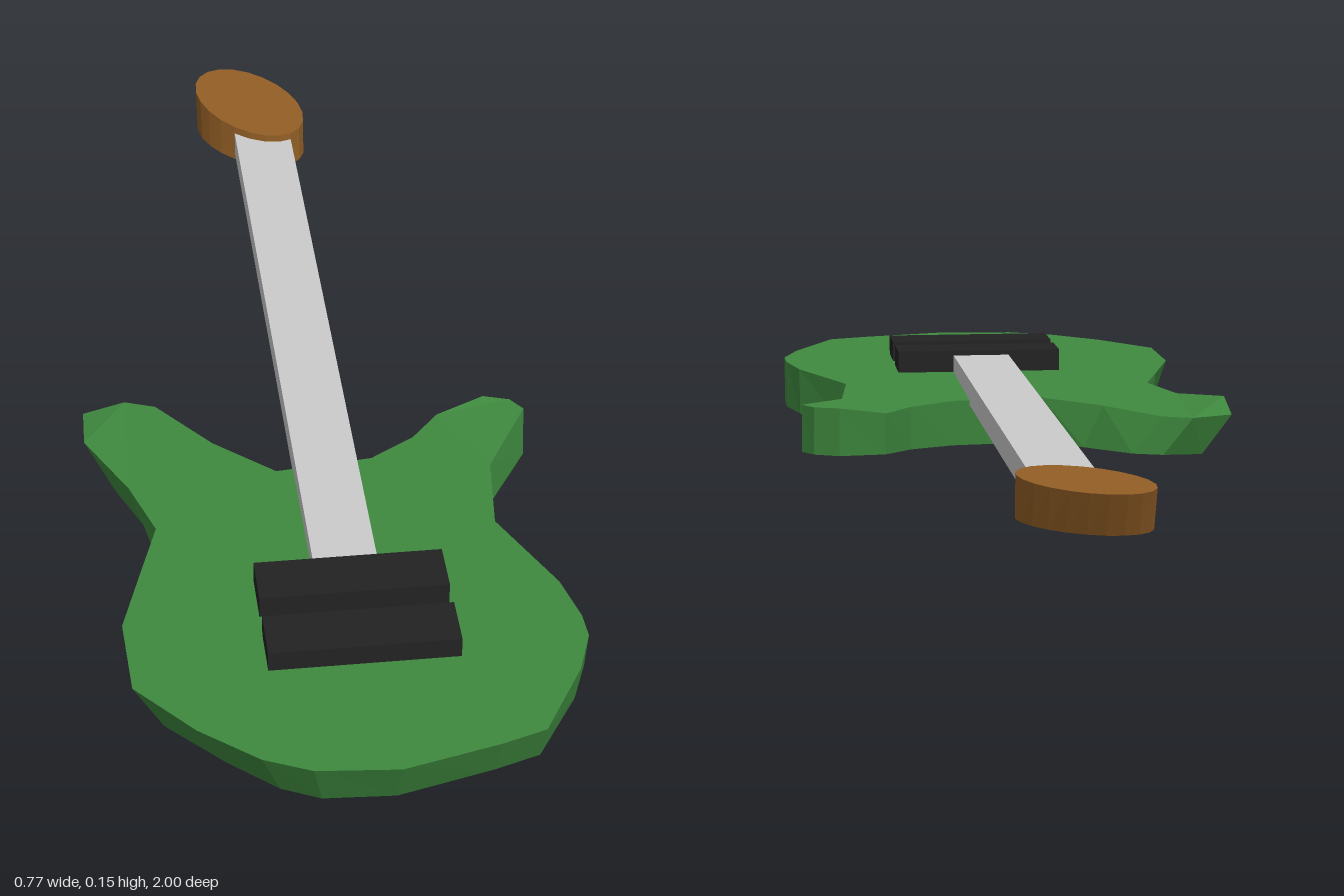
import * as THREE from 'three';

function mat(color) {
  return new THREE.MeshStandardMaterial({ color, flatShading: true });
}

function box(name, x0, x1, y0, y1, z0, z1, material) {
  const mesh = new THREE.Mesh(new THREE.BoxGeometry(x1 - x0, y1 - y0, z1 - z0), material);
  mesh.position.set((x0 + x1) / 2, (y0 + y1) / 2, (z0 + z1) / 2);
  mesh.name = name;
  return mesh;
}

// Move every vertex of a geometry by a rule
function reshape(geometry, rule) {
  const p = geometry.attributes.position;
  const v = new THREE.Vector3();
  for (let i = 0; i < p.count; i++) {
    rule(v.fromBufferAttribute(p, i));
    p.setXYZ(i, v.x, v.y, v.z);
  }
  geometry.computeVertexNormals();
  return geometry;
}

// Body outline as x, z, seen from above
const OUTLINE = [
  [-0.384, 0.026], [-0.31, 0], [-0.257, 0.02], [-0.167, 0.138], [-0.066, 0.23],
  [0.1, 0.212], [0.18, 0.16], [0.23, 0.1], [0.315, 0.075], [0.36, 0.09], [0.38, 0.12],
  [0.3, 0.254], [0.283, 0.41], [0.362, 0.58], [0.383, 0.67], [0.385, 0.72], [0.357, 0.8],
  [0.28, 0.935], [0.205, 0.96], [0.045, 1], [-0.09, 0.988], [-0.167, 0.953], [-0.26, 0.875],
  [-0.352, 0.765], [-0.357, 0.61], [-0.315, 0.47], [-0.283, 0.365], [-0.32, 0.25], [-0.388, 0.13],
];

function bodyGeometry() {
  const shape = new THREE.Shape(OUTLINE.map(([x, z]) => new THREE.Vector2(x, -z)));
  const g = new THREE.ExtrudeGeometry(shape, { depth: 1, bevelEnabled: false });
  g.rotateX(-Math.PI / 2);
  return reshape(g, (v) => {
    const { x, z } = v;
    if (v.y > 0.5) {
      // top face, rising a little to the front and at the horns
      const horn = Math.abs(x) > 0.3 && z > 0.05 && z < 0.2 ? 0.015 : 0;
      v.y = 0.094 + 0.02 * z + horn;
    } else {
      // underside, drawn in on one side and at the front
      if (x < 0) v.x += 0.05 * Math.min(1, Math.abs(z - 0.42) / 0.25) * Math.min(1, -x / 0.25);
      v.z -= 0.1 * Math.max(0, z - 0.5) - 0.04 * Math.max(0, 0.5 - z);
      v.y = Math.max(0, 0.01 + 0.03 * x + 0.08 * Math.max(0, 0.3 - z) * (x < 0 ? 1 : 0.1));
    }
  });
}

// Oval head, its far end slanting in towards the underside
function headGeometry() {
  const g = new THREE.CylinderGeometry(1, 1, 0.07, 22);
  g.scale(0.083, 1, 0.14);
  g.rotateY(Math.PI / 6);
  g.translate(0, 0.115, -0.872);
  return reshape(g.toNonIndexed(), (v) => {
    if (v.y < 0.1) v.z = -0.745 + (v.z + 0.745) * 0.84;
  });
}

export function createModel() {
  const model = new THREE.Group();
  model.name = 'guitar';

  const body = new THREE.Mesh(bodyGeometry(), mat(0x3f8a3f));
  body.name = 'body';
  const head = new THREE.Mesh(headGeometry(), mat(0x946026));
  head.name = 'head';
  model.add(body, head);

  model.add(box('neck', -0.037, 0.069, 0.09, 0.136, -0.8, 0.55, mat(0xcccccc)));

  // Pair of pickups
  const black = mat(0x222222);
  [0.523, 0.657].forEach((z, i) => {
    model.add(box('pickup' + (i + 1), -0.135, 0.175, 0.09, 0.145, z, z + 0.09, black));
  });
  return model;
}
